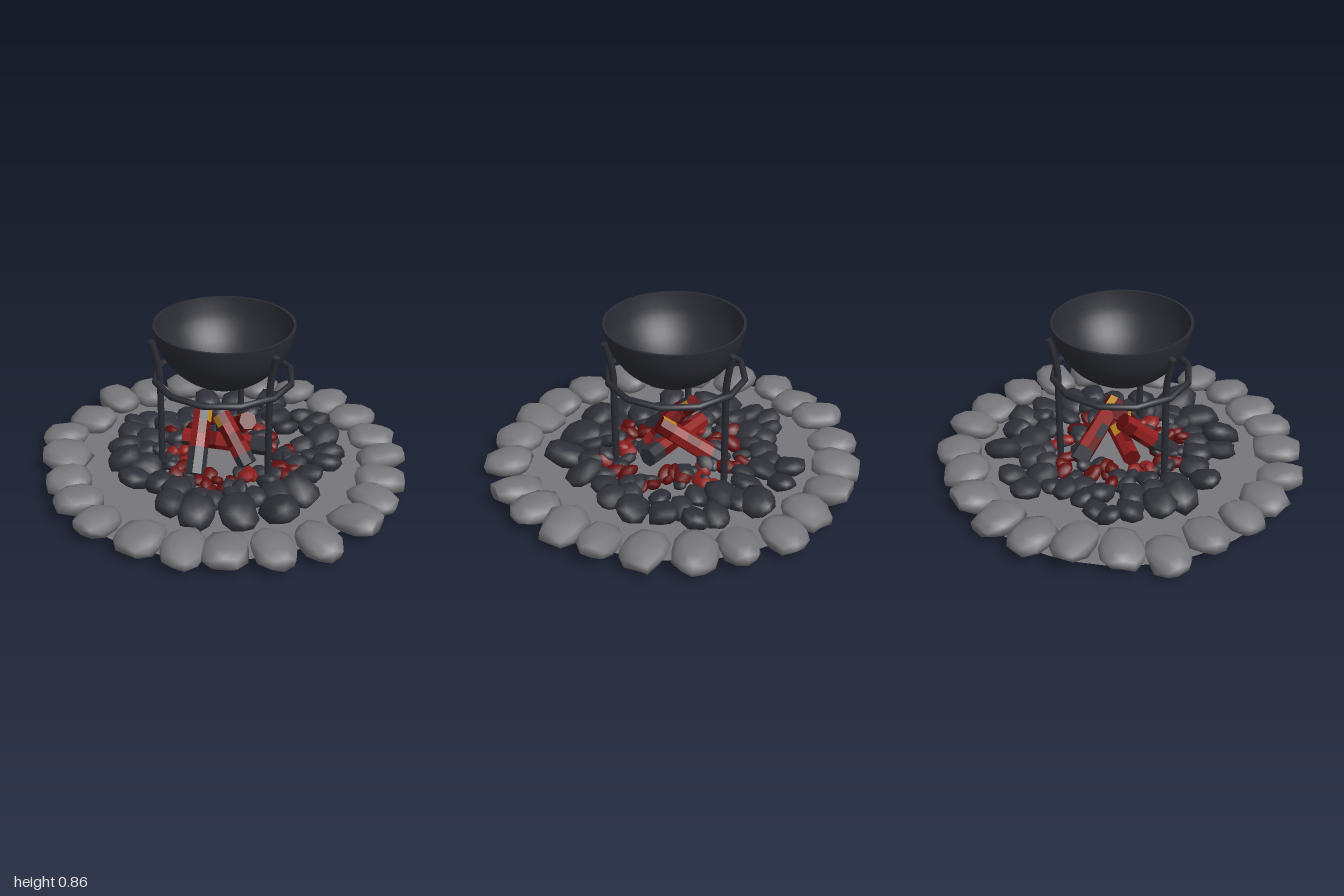
import * as THREE from 'three';
import { mergeVertices } from 'three/addons/utils/BufferGeometryUtils.js';

const mat = (name, color, side = THREE.FrontSide) => {
  const m = new THREE.MeshStandardMaterial({ color, side });
  m.name = name;
  return m;
};

export function createModel() {
  const group = new THREE.Group();
  const stone = mat('stone grey', 0x77767a);
  const ash = mat('ash grey', 0x77767a, THREE.DoubleSide);
  const coal = mat('coal', 0x2f3038);
  const iron = mat('iron', 0x2b2c34);
  const red = mat('glowing red', 0x8e1c1c);
  const darkRed = mat('dark red', 0x640d0d);
  const orange = mat('orange glow', 0xc08a22);

  let seed = 11;
  const rand = () => {
    seed = (seed * 16807) % 2147483647;
    return seed / 2147483647;
  };
  const jitter = (a) => (rand() * 2 - 1) * a;

  const add = (name, geometry, material, parent = group) => {
    const mesh = new THREE.Mesh(geometry, material);
    mesh.name = name;
    parent.add(mesh);
    return mesh;
  };
  const addGroup = (name) => {
    const g = new THREE.Group();
    g.name = name;
    group.add(g);
    return g;
  };

  // A rounded, slightly boxy pebble with an irregular outline
  const pebble = (sx, sy, sz) => {
    let g = new THREE.IcosahedronGeometry(1, 1);
    g.deleteAttribute('uv');
    g.deleteAttribute('normal');
    g = mergeVertices(g, 1e-3);
    const p = g.attributes.position;
    const v = new THREE.Vector3();
    for (let i = 0; i < p.count; i++) {
      v.fromBufferAttribute(p, i);
      const n = Math.cbrt(Math.abs(v.x) ** 3 + Math.abs(v.y) ** 3 + Math.abs(v.z) ** 3);
      v.multiplyScalar((1 + jitter(0.1)) / n);
      p.setXYZ(i, v.x * sx, v.y * sy, v.z * sz);
    }
    g.computeVertexNormals();
    return g;
  };
  const placePebble = (name, parent, material, x, y, z, size, tilt) => {
    const m = add(name, pebble(...size), material, parent);
    m.position.set(x, y, z);
    m.rotation.set(jitter(tilt), Math.atan2(x, z) + jitter(0.25), jitter(tilt), 'YXZ');
  };

  // Ash bed
  const bed = add('ashBed', new THREE.CircleGeometry(0.87, 40), ash);
  bed.rotation.x = -Math.PI / 2;
  bed.position.y = 0.042;

  // Outer ring of stones: x, z and an optional lift
  const ringSpots = [
    [-0.87, 0.03], [-0.79, -0.17], [-0.72, -0.38, 0.035], [-0.6, -0.57], [-0.43, -0.71], [-0.23, -0.8],
    [0, -0.83], [0.21, -0.85], [0.43, -0.75], [0.6, -0.63], [0.74, -0.44], [0.83, -0.235],
    [0.86, -0.02], [0.86, 0.18], [0.81, 0.37], [0.68, 0.6], [0.49, 0.73], [0.28, 0.8],
    [0.09, 0.84], [-0.13, 0.82], [-0.38, 0.75], [-0.54, 0.61], [-0.67, 0.46], [-0.77, 0.25],
  ];
  const stones = addGroup('stoneRing');
  for (const [x, z, lift = 0] of ringSpots) {
    placePebble('ringStone', stones, stone, x, 0.085 + lift + jitter(0.006), z,
      [0.1 + jitter(0.008), 0.056, 0.126 + jitter(0.008)], 0.17);
  }

  // Loose coals: x, z, half size
  const coalSpots = [
    [-0.24, -0.55, 0.07], [-0.1, -0.6, 0.065], [0.13, -0.62, 0.085], [0.15, -0.52, 0.075],
    [0.03, -0.48, 0.07], [0.2, -0.45, 0.08], [0.33, -0.53, 0.07], [0.42, -0.47, 0.075],
    [0.49, -0.33, 0.08], [0.41, -0.38, 0.06], [0.55, -0.18, 0.085], [0.5, -0.1, 0.065],
    [0.57, -0.06, 0.07], [0.5, 0.05, 0.07], [0.49, 0.22, 0.09], [0.38, 0.27, 0.075],
    [0.44, 0.41, 0.1], [0.25, 0.49, 0.1], [0.06, 0.56, 0.09], [-0.09, 0.51, 0.075],
    [-0.1, 0.39, 0.07], [-0.21, 0.34, 0.075], [-0.34, 0.36, 0.075], [-0.46, 0.2, 0.085],
    [-0.34, 0.21, 0.08], [-0.5, 0.08, 0.08], [-0.51, -0.07, 0.075], [-0.4, -0.03, 0.075],
    [-0.39, 0.08, 0.07], [-0.47, -0.23, 0.07], [-0.53, -0.18, 0.065], [-0.35, -0.19, 0.075],
    [-0.37, -0.28, 0.06], [-0.27, -0.35, 0.07], [-0.23, -0.41, 0.06], [-0.13, -0.45, 0.07],
    [-0.28, -0.26, 0.06], [0.1, 0.42, 0.06], [0.28, -0.36, 0.06], [0.4, -0.22, 0.055],
    [0.2, 0.38, 0.06], [0.02, 0.41, 0.06], [0.3, 0.36, 0.055], [0.43, 0.13, 0.055],
    [-0.03, -0.41, 0.055], [0.12, -0.4, 0.055], [-0.29, 0.07, 0.055], [-0.27, -0.08, 0.055],
  ];
  const coals = addGroup('coals');
  for (const [x, z, s] of coalSpots) {
    placePebble('coalLump', coals, coal, x, 0.1 + jitter(0.015), z,
      [s * 0.95, s * 0.58, s * 1.12], 0.4);
  }

  // Small embers around the logs
  const embers = addGroup('embers');
  const emberColours = [darkRed, coal, red, coal, darkRed, coal, darkRed];
  for (let i = 0; i < 66; i++) {
    const a = i * 2.4, r = 0.21 + 0.17 * rand(), s = 0.03 + 0.016 * rand();
    placePebble('ember', embers, emberColours[i % 7],
      0.04 + r * Math.sin(a), 0.085 + 0.04 * rand(), r * Math.cos(a), [s, s * 0.7, s * 1.3], 0.7);
  }

  // Burning logs: charred rows at the foot, one glowing patch on the face nearest a direction
  const logMaterials = [red, coal, darkRed, orange];
  const logs = addGroup('logs');
  const addLog = (from, to, radius, char, glow, glowRow) => {
    const a = new THREE.Vector3(...from), b = new THREE.Vector3(...to);
    const sides = 7, rows = 5;
    const g = new THREE.CylinderGeometry(radius * 0.9, radius, a.distanceTo(b), sides, rows).toNonIndexed();
    g.computeVertexNormals();
    g.clearGroups();
    const log = add('log', g, logMaterials, logs);
    log.position.copy(a).lerp(b, 0.5);
    log.quaternion.setFromUnitVectors(new THREE.Vector3(0, 1, 0), b.sub(a).normalize());
    const local = new THREE.Vector3(...glow).applyQuaternion(log.quaternion.clone().invert());
    const turn = Math.atan2(local.x, local.z) / (Math.PI * 2) + 1;
    const glowColumn = Math.floor(turn * sides) % sides;
    // side faces run column by column, each from the top row down
    for (let c = 0; c < sides; c++) {
      for (let r = 0; r < rows; r++) {
        const k = rand();
        let m = k < 0.65 ? 0 : 2;
        if (r >= rows - char || k < 0.08) m = 1;
        if (c === glowColumn && r === glowRow) m = 3;
        g.addGroup((c * rows + r) * 6, 6, m);
      }
    }
    const start = sides * rows * 6;
    g.addGroup(start, sides * 3, 2);
    g.addGroup(start + sides * 3, sides * 3, 1);
  };
  addLog([-0.05, 0.1, 0.25], [-0.09, 0.345, -0.02], 0.054, 2, [1, 1, 0], 0);
  addLog([0.19, 0.12, 0.1], [0.01, 0.335, -0.01], 0.052, 1, [-1, 1, 1], 0);
  addLog([-0.05, 0.1, -0.25], [0.16, 0.325, 0], 0.054, 1, [-1, 1, -0.5], 0);
  addLog([0.27, 0.18, -0.02], [-0.19, 0.18, 0.01], 0.052, 1, [0, 1, -1], 2);

  // Iron stand: three legs flaring above a supporting hoop
  const stand = addGroup('stand');
  stand.position.x = 0.028;
  for (let i = 0; i < 3; i++) {
    const a = Math.PI / 3 + i * Math.PI * 2 / 3;
    const at = (r, y) => new THREE.Vector3(r * Math.sin(a), y, r * Math.cos(a));
    const path = new THREE.CurvePath();
    path.add(new THREE.LineCurve3(at(0.33, 0.04), at(0.33, 0.6)));
    path.add(new THREE.QuadraticBezierCurve3(at(0.33, 0.6), at(0.335, 0.68), at(0.37, 0.8)));
    add('standLeg', new THREE.TubeGeometry(path, 16, 0.018, 8), iron, stand);
    for (const [r, y, tilt] of [[0.33, 0.04, Math.PI / 2], [0.37, 0.8, -Math.PI / 2 + 0.28]]) {
      const cap = add('legCap', new THREE.CircleGeometry(0.018, 8), iron, stand);
      cap.position.copy(at(r, y));
      cap.rotation.set(tilt, a, 0, 'YXZ');
    }
  }
  const hoop = add('standHoop', new THREE.TorusGeometry(0.356, 0.017, 8, 12), iron, stand);
  hoop.rotation.x = Math.PI / 2;
  hoop.position.y = 0.571;

  // Cauldron: outer wall, lip and inner wall in one turned profile
  const outer = new THREE.SplineCurve([
    [0, 0.518], [0.08, 0.53], [0.17, 0.568], [0.26, 0.638], [0.325, 0.732], [0.35, 0.81], [0.36, 0.862],
  ].map(([x, y]) => new THREE.Vector2(x, y))).getPoints(18);
  outer[0].x = 0;
  const inner = outer.map((p) => new THREE.Vector2(p.x * 0.96, 0.862 - (0.862 - p.y) * 0.95)).reverse();
  const cauldron = addGroup('cauldron');
  cauldron.position.set(0.033, 0, 0.005);
  add('cauldronOutside', new THREE.LatheGeometry(outer, 40), iron, cauldron);
  add('cauldronInside', new THREE.LatheGeometry(inner, 40), iron, cauldron);
  add('cauldronLip', new THREE.LatheGeometry([outer[18], inner[0]], 40), iron, cauldron);

  return group;
}
